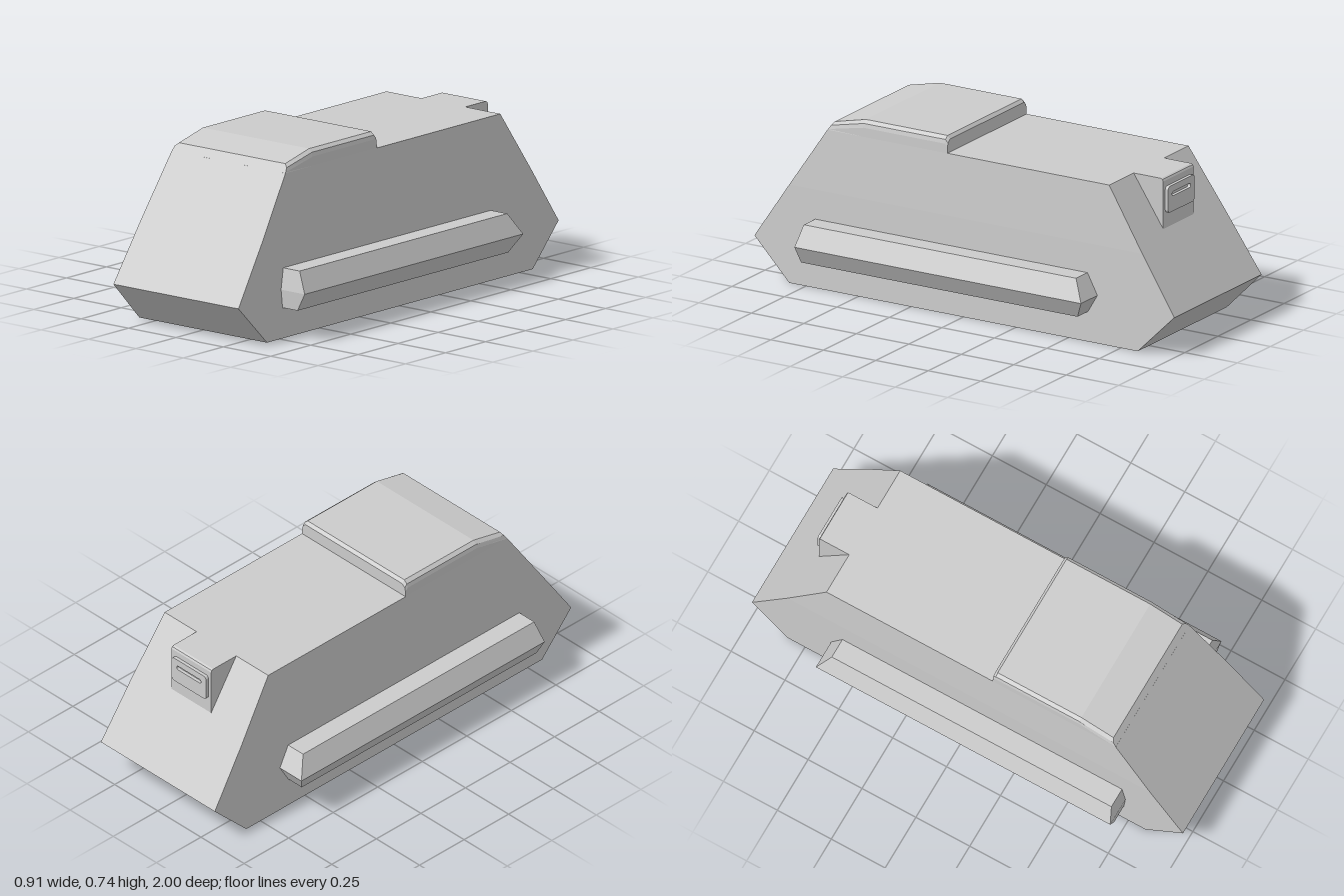
import * as THREE from 'three';

const material = new THREE.MeshStandardMaterial({ color: 0xcccccc, flatShading: true });

function addMesh(group, geometry, name) {
  const mesh = new THREE.Mesh(geometry, material);
  mesh.name = name;
  group.add(mesh);
  return mesh;
}

// Joins convex rings of points (counter-clockwise seen from the last ring) and caps both ends.
function loft(rings) {
  const n = rings[0].length, last = (rings.length - 1) * n, index = [];
  for (let r = 0; r < rings.length - 1; r++) {
    for (let i = 0; i < n; i++) {
      const a = r * n + i, b = r * n + (i + 1) % n;
      index.push(a, b, b + n, a, b + n, a + n);
    }
  }
  for (let i = 1; i < n - 1; i++) {
    index.push(0, i + 1, i, last, last + i, last + i + 1);
  }
  const geometry = new THREE.BufferGeometry();
  geometry.setAttribute('position', new THREE.Float32BufferAttribute(rings.flat(2), 3));
  geometry.setIndex(index);
  const flat = geometry.toNonIndexed();
  flat.computeVertexNormals();
  return flat;
}

// A rectangular level at height y.
const level = (y, x0, x1, z0, z1) => [[x0, y, z1], [x1, y, z1], [x1, y, z0], [x0, y, z0]];

// A roof section with softened shoulders; lean tilts its plane along z.
function roofSection(z, top, lean) {
  const right = [[0.3, 0.667], [0.299, Math.max(top - 0.03, 0.669)], [0.295, top - 0.013], [0.28, top]];
  const left = right.map(([x, y]) => [-x, y]).reverse();
  return [...right, ...left].map(([x, y]) => [x, y, z + (top - y) * lean]);
}

function roundedRect(shape, x, y, w, h, r) {
  shape.absarc(x + w - r, y + r, r, -Math.PI / 2, 0);
  shape.absarc(x + w - r, y + h - r, r, 0, Math.PI / 2);
  shape.absarc(x + r, y + h - r, r, Math.PI / 2, Math.PI);
  shape.absarc(x + r, y + r, r, Math.PI, Math.PI * 1.5);
  shape.closePath();
  return shape;
}

export function createModel() {
  const model = new THREE.Group();
  model.name = 'vehicleBody';

  // Hull: stacked levels, narrowing towards the roof
  const levels = [[0, 0.337, 0.83], [0.17, 0.33, 1], [0.41, 0.319, 0.841], [0.667, 0.3, 0.671]];
  addMesh(model, loft(levels.map(([y, w, z]) => level(y, -w, w, -z, z))), 'hull');

  // Raised front roof
  addMesh(model, loft([
    roofSection(0.1, 0.722, 0),
    roofSection(0.112, 0.735, 0),
    roofSection(0.5, 0.735, 0),
    roofSection(0.649, 0.7, 0.66),
  ]), 'raisedRoof');

  // Side pods with a pointed outer edge
  for (const [side, name] of [[1, 'leftSidePod'], [-1, 'rightSidePod']]) {
    const pod = [[0.125, 0.411, -0.59, 0.727], [0.2, 0.453, -0.633, 0.732], [0.287, 0.411, -0.583, 0.714]];
    addMesh(model, loft(pod.map(([y, x, z0, z1]) =>
      side > 0 ? level(y, 0.3, x, z0, z1) : level(y, -x, -0.3, z0, z1))), name);
  }

  // Rear housing standing out of the sloped back
  const profile = [[0.665, 0.667], [0.8, 0.667], [0.808, 0.663], [0.812, 0.655], [0.812, 0.445], [0.665, 0.445]];
  const housing = new THREE.ExtrudeGeometry(
    new THREE.Shape(profile.map(([z, y]) => new THREE.Vector2(z, y))),
    { depth: 0.23, bevelEnabled: false });
  housing.translate(0, 0, -0.115).rotateY(Math.PI / 2);
  addMesh(model, housing, 'rearHousing');

  // Slotted plate on the housing
  const plateShape = roundedRect(new THREE.Shape(), -0.1, 0.518, 0.2, 0.112, 0.015);
  plateShape.holes.push(roundedRect(new THREE.Path(), -0.07, 0.583, 0.14, 0.018, 0.008));
  const plate = new THREE.ExtrudeGeometry(plateShape, { depth: 0.014, bevelEnabled: false, curveSegments: 4 });
  plate.translate(0, 0, -0.826);
  addMesh(model, plate, 'rearPlate');

  return model;
}
